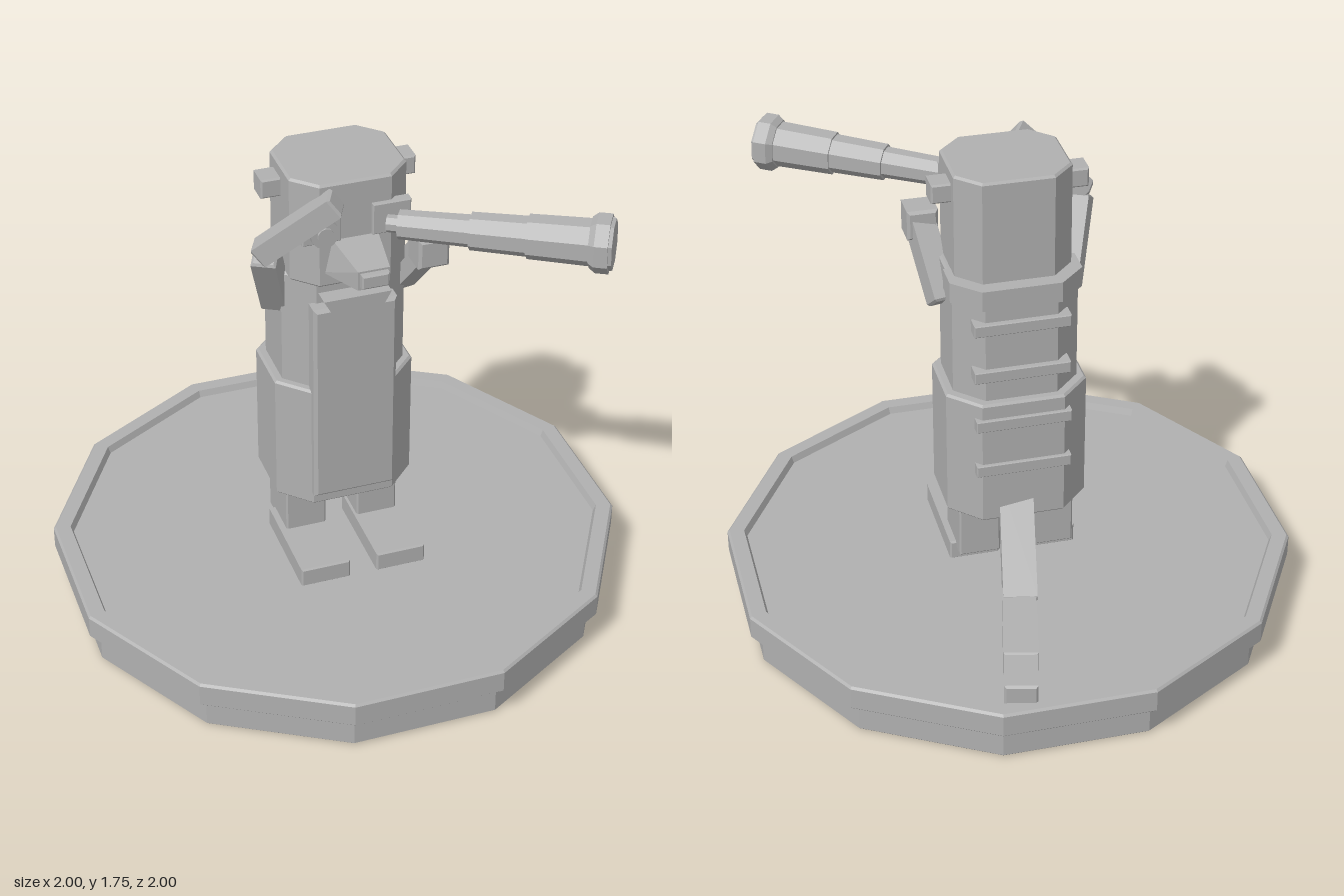
import * as THREE from 'three';

const stone = new THREE.MeshStandardMaterial({ color: 0xb0b0b0 });
stone.name = 'stone grey';

export function createModel() {
  const model = new THREE.Group();
  model.name = 'lookoutFigurine';

  const add = (name, geometry, parent = model) => {
    const flat = geometry.index ? geometry.toNonIndexed() : geometry;
    flat.computeVertexNormals();
    const mesh = new THREE.Mesh(flat, stone);
    mesh.name = name;
    parent.add(mesh);
    return mesh;
  };

  // Bevelled prism centred on the origin, extruded along z; cut chamfers the outline corners
  const prism = (w, h, d, cut = 0, bevel = 0.008) => {
    const x = w / 2 - bevel, y = h / 2 - bevel, c = cut;
    const points = c
      ? [[x, y - c], [x - c, y], [c - x, y], [-x, y - c], [-x, c - y], [c - x, -y], [x - c, -y], [x, c - y]]
      : [[x, y], [-x, y], [-x, -y], [x, -y]];
    const geometry = new THREE.ExtrudeGeometry(new THREE.Shape(points.map(p => new THREE.Vector2(...p))), {
      depth: d - 2 * bevel, bevelEnabled: bevel > 0, bevelSize: bevel, bevelThickness: bevel, bevelSegments: 1,
    });
    return geometry.translate(0, 0, bevel - d / 2);
  };

  // Box given by its limits on each axis
  const box = (name, [x0, x1], [y0, y1], [z0, z1], bevel = 0.006) =>
    add(name, prism(x1 - x0, y1 - y0, z1 - z0, 0, bevel)
      .translate((x0 + x1) / 2, (y0 + y1) / 2, (z0 + z1) / 2));

  // Upright body block with chamfered corners
  const block = (name, halfX, [y0, y1], [z0, z1], cut) =>
    add(name, prism(halfX * 2, z1 - z0, y1 - y0, cut).rotateX(-Math.PI / 2)
      .translate(0, (y0 + y1) / 2, (z0 + z1) / 2));

  // Beam running between two points
  const beam = (name, from, to, w, h) => {
    const a = new THREE.Vector3(...from), b = new THREE.Vector3(...to);
    const mesh = add(name, prism(w, h, a.distanceTo(b)));
    mesh.position.copy(a).add(b).multiplyScalar(0.5);
    mesh.lookAt(b);
    return mesh;
  };

  // Twelve-sided plinth with a raised rim
  const profile = [[0, 0], [0.952, 0], [0.96, 0.008], [0.96, 0.12], [0.992, 0.12], [1, 0.128],
    [1, 0.207], [0.992, 0.215], [0.94, 0.215], [0.93, 0.19], [0, 0.19]];
  add('plinth', new THREE.LatheGeometry(
    profile.map(([r, y]) => new THREE.Vector2(r / Math.cos(Math.PI / 12), y)), 12, Math.PI / 12));

  // Legs and feet
  for (const s of [-1, 1]) {
    const span = (a, b) => (s > 0 ? [a, b] : [-b, -a]);
    box('leg', span(0.06, 0.21), [0.24, 0.47], [-0.13, 0.075]);
    box('foot', span(0.05, 0.233), [0.185, 0.26], [-0.07, 0.32]);
    box('ear', span(0.19, 0.273), [1.635, 1.705], [-0.043, 0.043]);
    box('eyePatch', span(0.055, 0.19), [1.54, 1.655], [0.19, 0.228], 0.004);
  }

  // Body and head
  block('hips', 0.252, [0.45, 0.935], [-0.23, 0.2], 0.1);
  block('torso', 0.222, [0.925, 1.37], [-0.2, 0.18], 0.09);
  block('head', 0.205, [1.36, 1.75], [-0.155, 0.212], 0.075);
  box('bellyPanel', [-0.152, 0.148], [0.5, 1.28], [0.16, 0.23], 0.012);

  // Collar wrapping the back of the shoulders
  const collar = new THREE.Shape([[-0.232, 0.02], [-0.232, 0.12], [-0.14, 0.208], [0.14, 0.208], [0.232, 0.12],
    [0.232, 0.02]].map(p => new THREE.Vector2(...p)));
  add('collar', new THREE.ExtrudeGeometry(collar, { depth: 0.075, bevelEnabled: false })
    .rotateX(-Math.PI / 2).translate(0, 1.297, 0));

  // Bib on the chest
  const bib = new THREE.Shape([[-0.12, 1.32], [-0.055, 1.2], [0.055, 1.2], [0.12, 1.32]]
    .map(p => new THREE.Vector2(...p)));
  add('chestBib', new THREE.ExtrudeGeometry(bib, { depth: 0.065, bevelEnabled: false }).translate(0, 0, 0.178));

  // Stripes across the back
  [1.225, 1.04, 0.855, 0.67].forEach((y, i) => {
    const back = i < 2 ? -0.22 : -0.243;
    box('backStripe', [-0.17, 0.17], [y - 0.022, y + 0.022], [back, back + 0.06], 0.003);
  });

  // Muzzle tapering to the nose
  const muzzle = new THREE.BoxGeometry(0.22, 0.13, 0.2);
  const p = muzzle.attributes.position;
  for (let i = 0; i < p.count; i++) {
    const front = p.getZ(i) > 0, top = p.getY(i) > 0;
    p.setX(i, p.getX(i) * (front ? 0.5 : top ? 0.75 : 1));
    p.setY(i, front ? (top ? 0.04 : -0.03) : p.getY(i));
  }
  add('muzzle', muzzle.translate(0, 1.475, 0.295));
  box('nose', [-0.048, 0.048], [1.457, 1.508], [0.37, 0.418]);

  // Open eye
  add('eye', new THREE.CylinderGeometry(0.05, 0.05, 0.03, 12).rotateX(Math.PI / 2).translate(-0.118, 1.585, 0.235));
  add('pupil', new THREE.CylinderGeometry(0.028, 0.028, 0.012, 10).rotateX(Math.PI / 2)
    .translate(-0.118, 1.585, 0.252));

  // Right arm shading the brow
  beam('rightUpperArm', [-0.22, 1.22, 0.02], [-0.3, 1.5, 0.165], 0.085, 0.09);
  beam('rightForearm', [-0.32, 1.5, 0.155], [-0.085, 1.715, 0.27], 0.085, 0.075);

  // Left arm reaching up to the telescope
  beam('leftUpperArm', [0.225, 1.22, 0.02], [0.265, 1.46, 0.215], 0.085, 0.09);
  box('leftHand', [0.205, 0.315], [1.395, 1.505], [0.157, 0.272], 0.01);

  // Telescope, built along z and aimed outward
  const telescope = new THREE.Group();
  telescope.name = 'telescope';
  const start = new THREE.Vector3(0.135, 1.585, 0.26), end = new THREE.Vector3(0.745, 1.605, 0.64);
  telescope.position.copy(start);
  telescope.lookAt(end);
  model.add(telescope);
  const tube = (name, a, b, r0, r1) => add(name, new THREE.CylinderGeometry(r1, r0, b - a, 8)
    .rotateY(Math.PI / 8).rotateX(Math.PI / 2).translate(0, 0, (a + b) / 2), telescope);
  tube('eyepiece', -0.04, 0.01, 0.03, 0.03);
  tube('rearTube', 0, 0.25, 0.05, 0.055);
  tube('middleTube', 0.24, 0.44, 0.064, 0.068);
  tube('frontTube', 0.43, 0.66, 0.075, 0.08);
  tube('bellFlare', 0.635, 0.655, 0.085, 0.1);
  tube('bellRim', 0.655, 0.7, 0.1, 0.1);
  tube('lens', 0.69, 0.712, 0.092, 0.086);

  // Tail trailing over the plinth
  beam('tailBase', [0, 0.53, -0.11], [0.075, 0.255, -0.475], 0.12, 0.115);
  beam('tailMiddle', [0.07, 0.258, -0.44], [0.152, 0.238, -0.785], 0.12, 0.1);
  beam('tailTip', [0.148, 0.24, -0.765], [0.193, 0.24, -0.95], 0.115, 0.085);

  return model;
}
